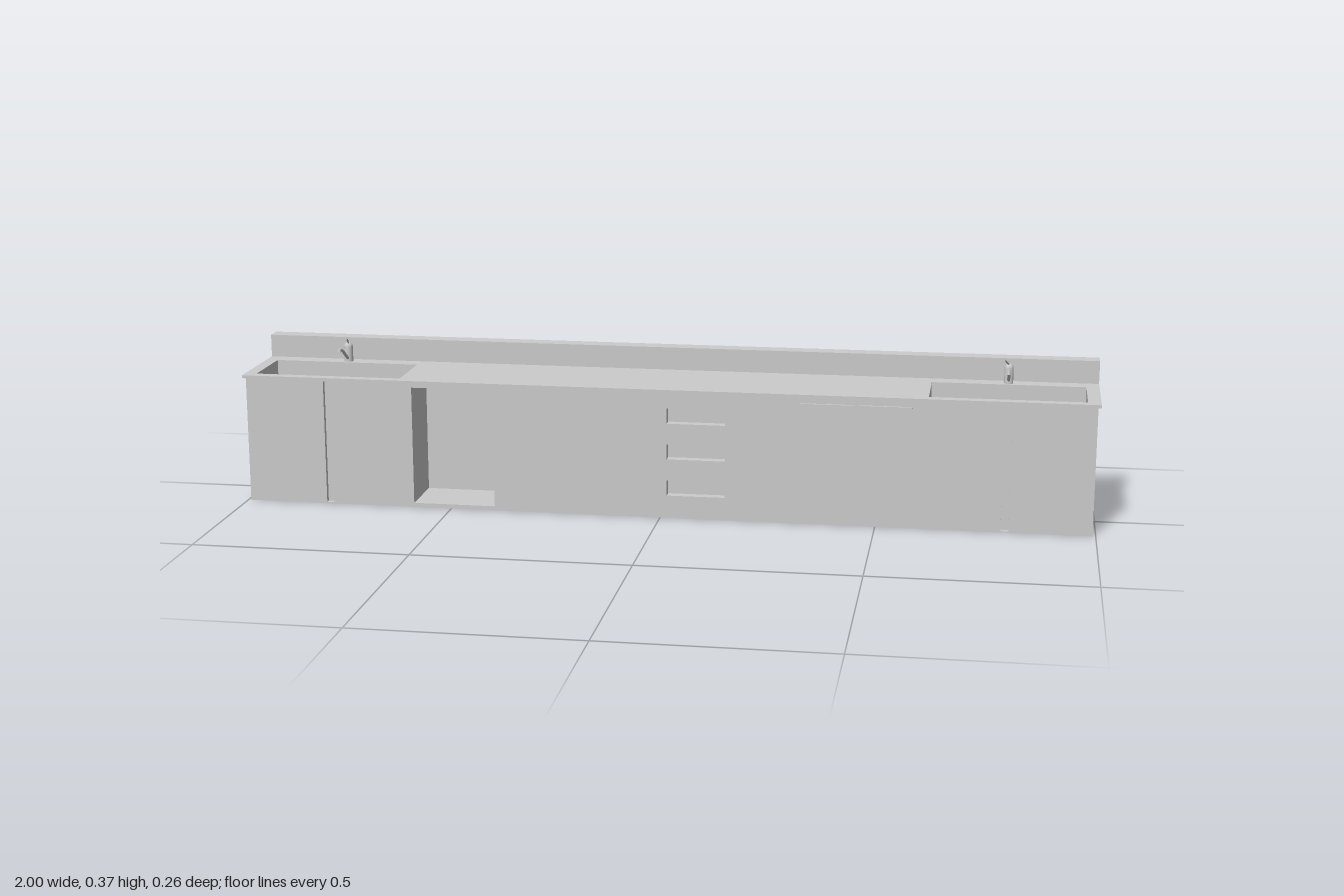
import * as THREE from 'three';

const grey = new THREE.MeshStandardMaterial({ color: 0xcccccc, side: THREE.DoubleSide });
const FACES = ['right', 'left', 'top', 'bottom', 'front', 'back'];

// Box between two corners, with the named faces left out
function shell(name, [x0, x1], [y0, y1], [z0, z1], open = []) {
  const geo = new THREE.BoxGeometry(x1 - x0, y1 - y0, z1 - z0);
  const index = Array.from(geo.index.array);
  geo.setIndex(index.filter((_, i) => !open.includes(FACES[Math.floor(i / 6)])));
  geo.clearGroups();
  geo.translate((x0 + x1) / 2, (y0 + y1) / 2, (z0 + z1) / 2);
  return part(name, geo);
}

function part(name, geo) {
  const mesh = new THREE.Mesh(geo, grey);
  mesh.name = name;
  return mesh;
}

function rect(Type, [x0, x1], [y0, y1]) {
  return new Type([[x0, y0], [x1, y0], [x1, y1], [x0, y1]].map(p => new THREE.Vector2(...p)));
}

// Mixer tap: domed body, bent spout and a lever turned slightly sideways
function tap(x, lean) {
  const g = new THREE.Group();
  g.name = 'tap';
  const profile = [[0.0105, 0], [0.0105, 0.036], [0.009, 0.042], [0.005, 0.046], [0, 0.047]];
  g.add(part('tapBody', new THREE.LatheGeometry(profile.map(p => new THREE.Vector2(...p)), 20)));

  const spout = new THREE.CurvePath();
  const pts = [[0.004, 0.006], [0.05, 0.036], [0.062, 0.041], [0.075, 0.042], [0.077, 0.036]]
    .map(([z, y]) => new THREE.Vector3(0, y, z));
  for (let i = 1; i < pts.length; i++) spout.add(new THREE.LineCurve3(pts[i - 1], pts[i]));
  g.add(part('spout', new THREE.TubeGeometry(spout, 24, 0.0035, 10)));

  const lever = new THREE.LineCurve3(new THREE.Vector3(0, 0.044, 0), new THREE.Vector3(lean, 0.059, 0.033));
  g.add(part('lever', new THREE.TubeGeometry(lever, 1, 0.002, 8)));
  g.position.set(x, 0.307, -0.067);
  return g;
}

export function createModel() {
  const model = new THREE.Group();
  model.name = 'kitchenCounter';
  const front = 0.123, rear = -0.09, side = 0.993, under = 0.3, top = 0.307;

  // Splashback, hollow and open to the rear and below
  model.add(shell('splashback', [-1, 1], [0, 0.361], [-0.13, rear], ['back', 'bottom']));

  // Cabinet ends
  model.add(shell('cabinetEnds', [-side, side], [0, under], [rear, front], ['top', 'bottom', 'front', 'back']));

  // Front panel with its recesses: niche, drawer grips, door gaps
  const recesses = [
    ['niche', [-0.59, -0.395], [0.01, 0.29], 0.135],
    ...[0.054, 0.141, 0.226].map(y => ['drawerGrip', [0.016, 0.152], [y, y + 0.036], 0.022]),
    ...[-0.795, 0.795].map(x => ['doorGap', [x - 0.009, x + 0.009], [0.003, 0.297], 0.012]),
  ];
  const panel = rect(THREE.Shape, [-side, side], [0, under]);
  for (const [name, xs, ys, depth] of recesses) {
    panel.holes.push(rect(THREE.Path, xs, ys));
    model.add(shell(name, xs, ys, [front - depth, front], ['front']));
  }
  const panelGeo = new THREE.ShapeGeometry(panel);
  panelGeo.translate(0, 0, front);
  model.add(part('frontPanel', panelGeo));

  // Slim pulls below the worktop edge
  for (const xs of [[0.325, 0.447], [0.457, 0.58]]) {
    model.add(shell('slimPull', xs, [0.282, 0.286], [front, 0.129]));
  }

  // Worktop with two sink openings and hanging basins
  const sinkZ = [-0.05, 0.105];
  const slab = rect(THREE.Shape, [-1, 1], [-0.129, -rear]);
  for (const xs of [[-0.972, -0.622], [0.615, 0.97]]) {
    slab.holes.push(rect(THREE.Path, xs, [-sinkZ[1], -sinkZ[0]]));
    model.add(shell('sinkBasin', xs, [0.19, under], sinkZ, ['top']));
  }
  const slabGeo = new THREE.ExtrudeGeometry(slab, { depth: top - under, bevelEnabled: false });
  slabGeo.rotateX(-Math.PI / 2);
  slabGeo.translate(0, under, 0);
  model.add(part('worktop', slabGeo));

  model.add(tap(-0.797, 0.008), tap(0.792, -0.008));
  return model;
}
